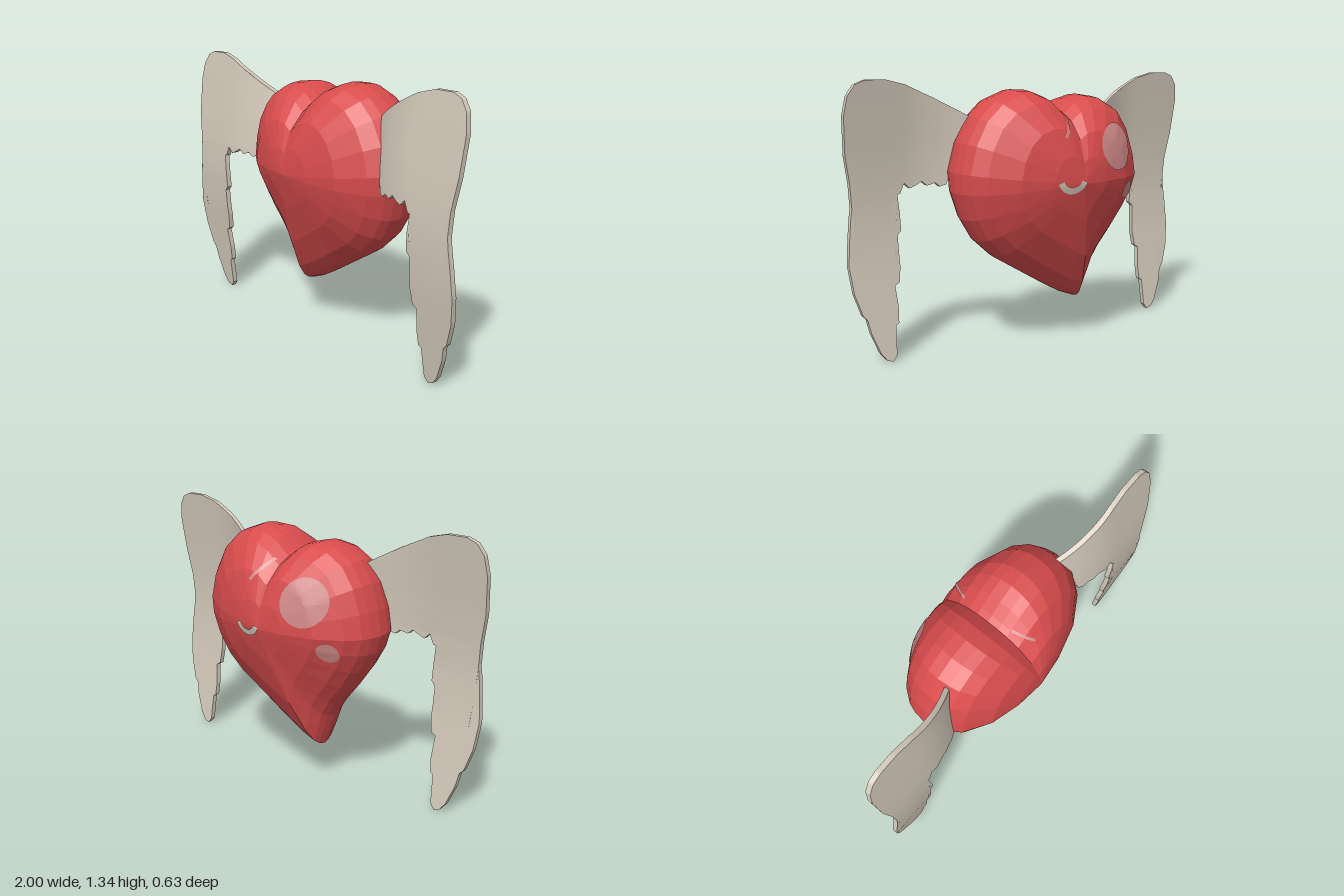
import * as THREE from 'three';
import { toCreasedNormals } from 'three/addons/utils/BufferGeometryUtils.js';

const mat = (name, color, extra = {}) => {
  const m = new THREE.MeshStandardMaterial({ color, ...extra });
  m.name = name;
  return m;
};

// Piecewise linear lookup through [input, output] pairs
function lookup(table, v) {
  for (let i = 1; i < table.length; i++) {
    const [a, fa] = table[i - 1], [b, fb] = table[i];
    if (v <= b) return THREE.MathUtils.lerp(fa, fb, Math.max(0, (v - a) / (b - a)));
  }
  return table[table.length - 1][1];
}

// Heart: the outline shrinks in rings toward a raised centre, on both sides
function heartGeometry() {
  const outline = [
    [-0.05, 1.18], [-0.12, 1.23], [-0.2, 1.25], [-0.3, 1.235], [-0.4, 1.18], [-0.47, 1.08],
    [-0.51, 0.96], [-0.53, 0.84], [-0.505, 0.75], [-0.45, 0.65], [-0.38, 0.55], [-0.3, 0.45],
    [-0.25, 0.37], [-0.22, 0.28], [-0.19, 0.2], [-0.1, 0.235], [0, 0.29], [0.15, 0.38],
    [0.3, 0.47], [0.4, 0.56], [0.465, 0.67], [0.505, 0.8], [0.51, 0.9], [0.475, 1.04],
    [0.41, 1.16], [0.32, 1.24], [0.2, 1.283], [0.12, 1.28], [0.04, 1.25], [-0.02, 1.2],
  ];
  const rings = [[1, 0], [0.985, 0.06], [0.95, 0.11], [0.85, 0.175], [0.6, 0.255], [0.3, 0.297], [0, 0.315]];
  const cx = -0.03, cy = 0.84, n = outline.length, pos = [];
  const point = (r, i, side) => {
    const [s, z] = rings[r], [x, y] = outline[i % n];
    const py = cy + (y - cy) * s;
    const thin = 1 - 0.4 * THREE.MathUtils.clamp((cy - py) / 0.64, 0, 1);
    return [cx + (x - cx) * s, py, side * z * thin];
  };
  for (const side of [1, -1]) {
    for (let r = 0; r < rings.length - 1; r++) {
      for (let i = 0; i < n; i++) {
        const a = point(r, i, side), b = point(r, i + 1, side);
        const c = point(r + 1, i + 1, side), d = point(r + 1, i, side);
        const tris = r === rings.length - 2 ? [[a, b, c]] : [[a, b, c], [a, c, d]];
        for (const t of tris) pos.push(...(side > 0 ? t : t.reverse()).flat());
      }
    }
  }
  const g = new THREE.BufferGeometry();
  g.setAttribute('position', new THREE.Float32BufferAttribute(pos, 3));
  g.computeVertexNormals();
  return g;
}

// Split every triangle into four so a flat plate can bend
function subdivide(geometry, levels) {
  const p = geometry.attributes.position;
  let tris = [];
  for (let i = 0; i < p.count; i += 3) {
    tris.push([0, 1, 2].map((k) => new THREE.Vector3().fromBufferAttribute(p, i + k)));
  }
  const mid = (a, b) => a.clone().add(b).multiplyScalar(0.5);
  for (let l = 0; l < levels; l++) {
    tris = tris.flatMap(([a, b, c]) => {
      const ab = mid(a, b), bc = mid(b, c), ca = mid(c, a);
      return [[a, ab, ca], [ab, b, bc], [ca, bc, c], [ab, bc, ca]];
    });
  }
  return new THREE.BufferGeometry().setFromPoints(tris.flat());
}

// Wing: extruded feather outline, curved forward in its middle and back at the root
function wingGeometry(side) {
  const outline = [
    [0.4, 1.16], [0.45, 1.19], [0.56, 1.25], [0.7, 1.315], [0.8, 1.34], [0.9, 1.34], [0.95, 1.32],
    [0.985, 1.27], [1, 1.18], [0.99, 1], [0.965, 0.86], [0.957, 0.75], [0.975, 0.6], [0.985, 0.48],
    [0.97, 0.35], [0.935, 0.24], [0.915, 0.22], [0.9, 0.15], [0.86, 0.05], [0.83, 0.012], [0.8, 0.002],
    [0.778, 0.03], [0.772, 0.17], [0.755, 0.18], [0.75, 0.25], [0.76, 0.36], [0.735, 0.375],
    [0.725, 0.45], [0.73, 0.6], [0.71, 0.62], [0.713, 0.7], [0.725, 0.795], [0.71, 0.8], [0.69, 0.848],
    [0.66, 0.82], [0.635, 0.83], [0.6, 0.85], [0.575, 0.828], [0.535, 0.84], [0.515, 0.82],
    [0.485, 0.83], [0.47, 0.88], [0.455, 0.96], [0.43, 1.07],
  ];
  const shape = new THREE.Shape(outline.map(([x, y]) => new THREE.Vector2(side * x, y)));
  const flat = new THREE.ExtrudeGeometry(shape, { depth: 0.026, bevelEnabled: false });
  const g = subdivide(flat, 3);
  const sweep = [[0, 0.112], [0.25, 0.143], [0.5, 0.172], [0.7, 0.182], [0.85, 0.175], [1, 0.16], [1.2, 0.133], [1.34, 0.113]];
  const p = g.attributes.position;
  for (let i = 0; i < p.count; i++) {
    const root = Math.max(0, 0.7 - Math.abs(p.getX(i)));
    p.setZ(i, p.getZ(i) - 0.013 + lookup(sweep, p.getY(i)) - 0.95 * root * root);
  }
  return toCreasedNormals(g, 0.6);
}

export function createModel() {
  const red = mat('heart red', 0xd94c4d, { flatShading: true });
  const cream = mat('wing cream', 0xd4cabb);
  const pink = mat('highlight pink', 0xd08a88, { side: THREE.DoubleSide });
  const bone = mat('pale mark', 0xcfc4b6, { side: THREE.DoubleSide });
  const model = new THREE.Group();
  model.name = 'wingedHeart';
  const add = (name, geometry, material) => {
    const mesh = new THREE.Mesh(geometry, material);
    mesh.name = name;
    model.add(mesh);
    return mesh;
  };

  const heart = add('heart', heartGeometry(), red);
  add('leftWing', wingGeometry(1), cream);
  add('rightWing', wingGeometry(-1), cream);

  // Painted marks: flat shapes laid onto the heart's front (side 1) or back (side -1)
  const ray = new THREE.Raycaster();
  const paint = (name, geometry, material, x, y, side) => {
    if (side < 0) geometry.rotateY(Math.PI);
    geometry.translate(x, y, 0);
    const p = geometry.attributes.position;
    for (let i = 0; i < p.count; i++) {
      ray.set(new THREE.Vector3(p.getX(i), p.getY(i), side), new THREE.Vector3(0, 0, -side));
      const hit = ray.intersectObject(heart)[0];
      if (hit) p.setZ(i, hit.point.z + side * 0.005);
    }
    geometry.computeVertexNormals();
    add(name, geometry, material);
  };
  paint('largeHighlight', new THREE.RingGeometry(0.001, 0.115, 28, 6), pink, -0.27, 1.0, -1);
  paint('smallHighlight', new THREE.RingGeometry(0.001, 0.048, 20, 4), pink, -0.38, 0.77, -1);
  paint('backMark', new THREE.RingGeometry(0.055, 0.085, 14, 2, Math.PI + 0.4, Math.PI - 0.8), bone, 0.04, 0.88, -1);
  paint('backStreak', new THREE.PlaneGeometry(0.12, 0.016, 10, 2).rotateZ(0.93), pink, 0.018, 1.11, -1);
  paint('frontStreak', new THREE.PlaneGeometry(0.06, 0.014, 6, 2).rotateZ(-0.7), pink, 0.005, 1.165, 1);
  return model;
}
